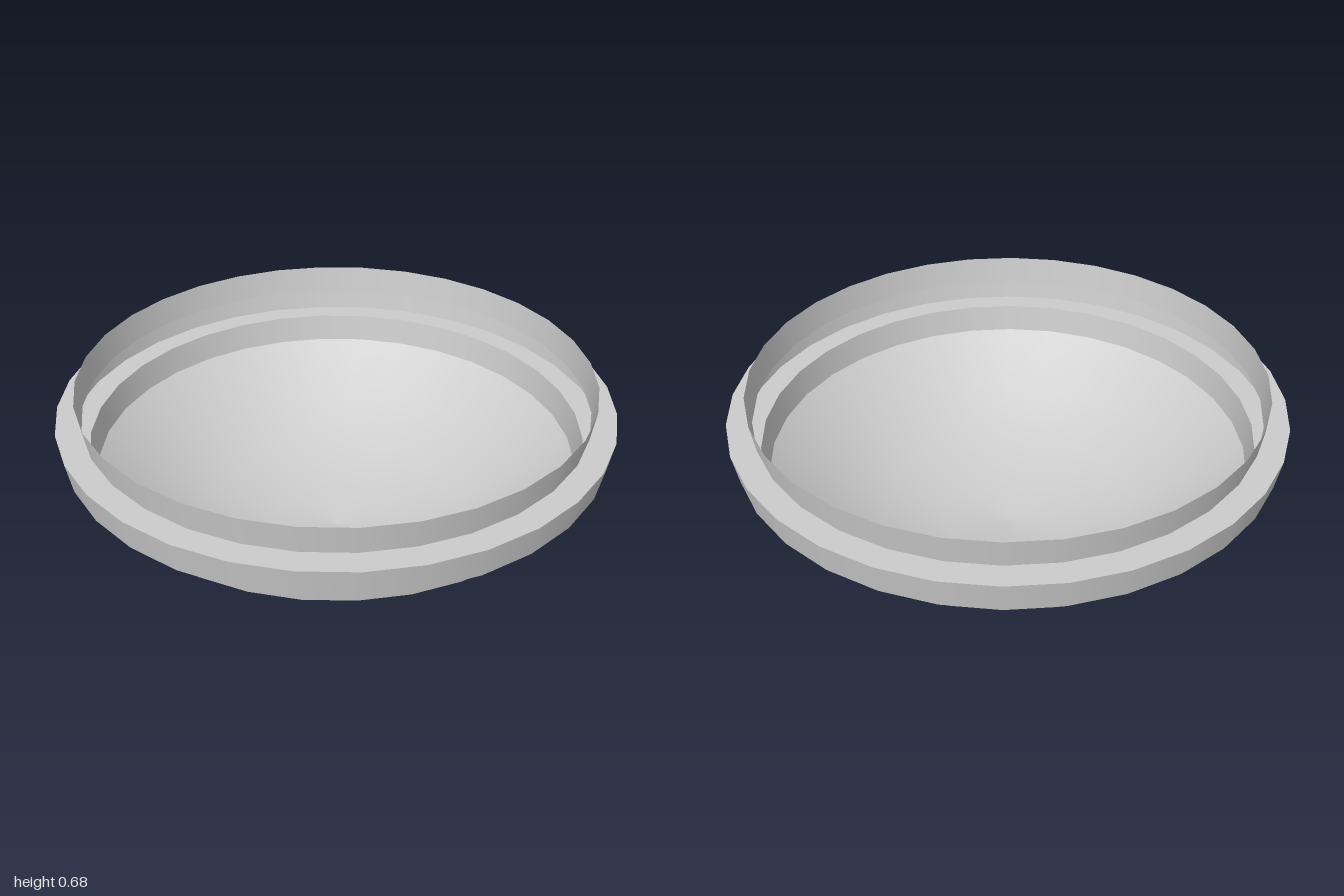
import * as THREE from 'three';

const SIDES = 32;

export function createModel() {
  const group = new THREE.Group();
  const material = new THREE.MeshStandardMaterial({ color: 0xcccccc, side: THREE.DoubleSide });

  // Thin turned shell; separate lathes keep the edges between parts sharp
  const turned = (name, points) => {
    const profile = points.map(([r, y]) => new THREE.Vector2(r, y));
    const mesh = new THREE.Mesh(new THREE.LatheGeometry(profile, SIDES), material);
    mesh.name = name;
    group.add(mesh);
  };

  // Shallow spherical bowl
  const rim = 0.875, depth = 0.362;
  const radius = (rim * rim + depth * depth) / (2 * depth);
  const sweep = Math.asin(rim / radius);
  const bowl = [];
  for (let i = 0; i <= 4; i++) {
    const a = (sweep * i) / 4;
    bowl.push([radius * Math.sin(a), radius * (1 - Math.cos(a))]);
  }
  turned('bowl', bowl);

  // Flared walls with a hollow flange band between them
  turned('lowerWall', [[0.875, 0.362], [0.893, 0.466]]);
  turned('flangeUnderside', [[0.893, 0.466], [0.981, 0.466]]);
  turned('flangeBand', [[0.981, 0.466], [1, 0.576]]);
  turned('flangeTop', [[1, 0.576], [0.91, 0.576]]);
  turned('upperWall', [[0.91, 0.576], [0.925, 0.679]]);

  return group;
}
